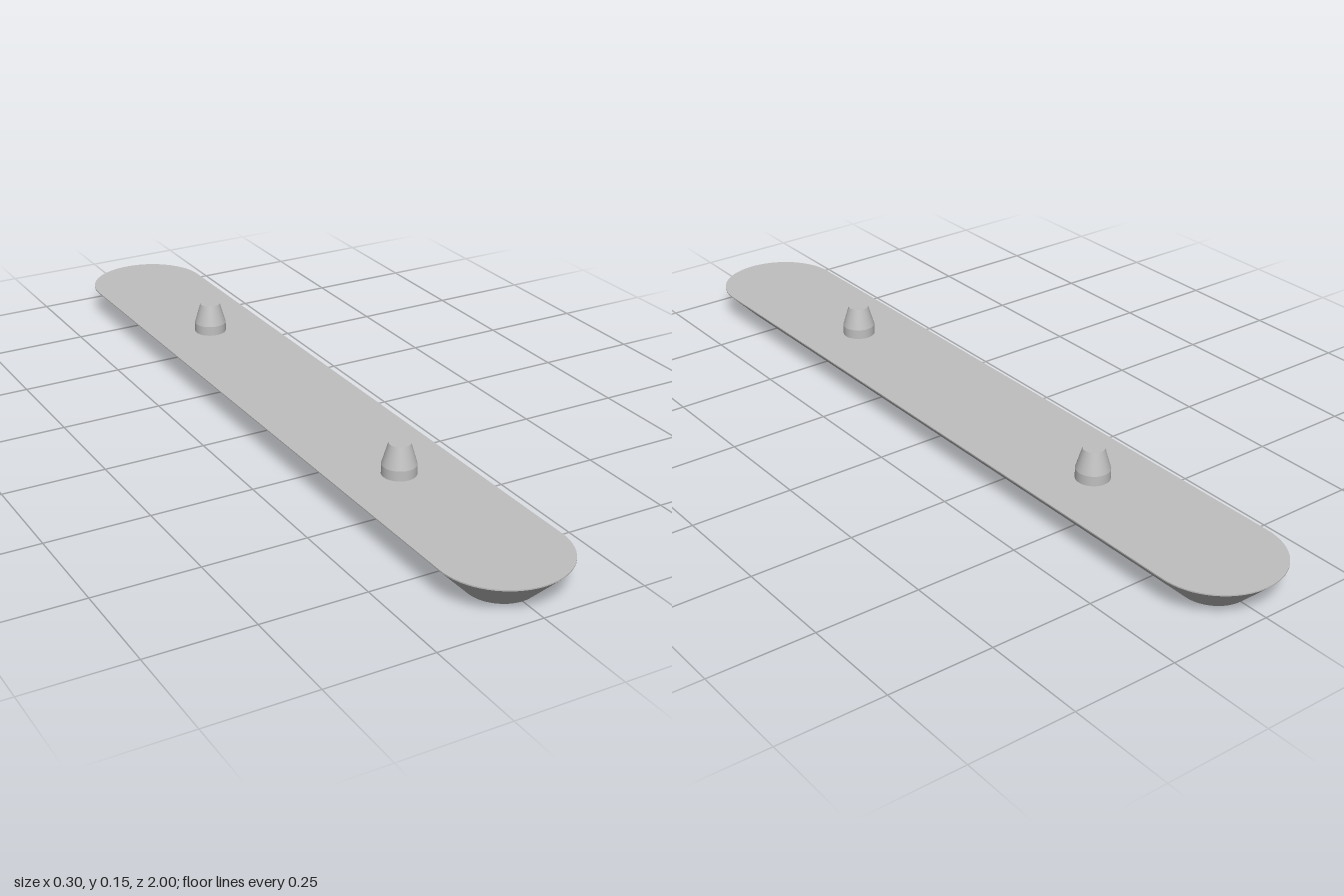
import * as THREE from 'three';

const HALF_STRAIGHT = 0.85; // distance from the middle to each end-arc centre
const ARC_STEPS = 32;

// Closed pill-shaped outline of radius r at height y, running from +x towards +z
function outline(r, y) {
  const pts = [];
  for (const end of [1, -1]) {
    for (let i = 0; i <= ARC_STEPS; i++) {
      const a = Math.PI * (i / ARC_STEPS) + (end < 0 ? Math.PI : 0);
      pts.push([r * Math.cos(a), y, r * Math.sin(a) + end * HALF_STRAIGHT]);
    }
  }
  return pts;
}

// Sweep a [radius, height] profile round the pill outline, each band with its own crisp edges
function pillLoft(profile) {
  const positions = [], indices = [];
  for (let k = 0; k < profile.length - 1; k++) {
    const low = outline(...profile[k]), high = outline(...profile[k + 1]);
    const n = low.length, base = positions.length / 3;
    positions.push(...low.flat(), ...high.flat());
    for (let i = 0; i < n; i++) {
      const a = base + i, b = base + (i + 1) % n;
      indices.push(a, a + n, b, a + n, b + n, b);
    }
  }
  const geo = new THREE.BufferGeometry();
  geo.setAttribute('position', new THREE.Float32BufferAttribute(positions, 3));
  geo.setIndex(indices);
  geo.computeVertexNormals();
  return geo;
}

export function createModel() {
  const grey = new THREE.MeshStandardMaterial({ color: 0xbfbfbf });
  grey.name = 'light grey';
  const model = new THREE.Group();
  model.name = 'peggedBar';

  // Bar: flat bottom, 45 degree flared sides, thin upright rim, flat top
  const bar = new THREE.Mesh(
    pillLoft([[0, 0], [0.079, 0], [0.15, 0.072], [0.15, 0.075], [0, 0.075]]), grey);
  bar.name = 'bar';
  model.add(bar);

  // Pegs: short cylinder below a tapered tip
  const collarGeo = new THREE.CylinderGeometry(0.04, 0.04, 0.024, 40, 1, true).translate(0, 0.087, 0);
  const tipGeo = new THREE.CylinderGeometry(0.025, 0.04, 0.051, 40).translate(0, 0.1245, 0);
  for (const side of [1, -1]) {
    const peg = new THREE.Group();
    peg.name = side > 0 ? 'frontPeg' : 'backPeg';
    const collar = new THREE.Mesh(collarGeo, grey);
    collar.name = 'pegCollar';
    const tip = new THREE.Mesh(tipGeo, grey);
    tip.name = 'pegTip';
    peg.add(collar, tip);
    peg.position.z = side * 0.463;
    model.add(peg);
  }
  return model;
}
